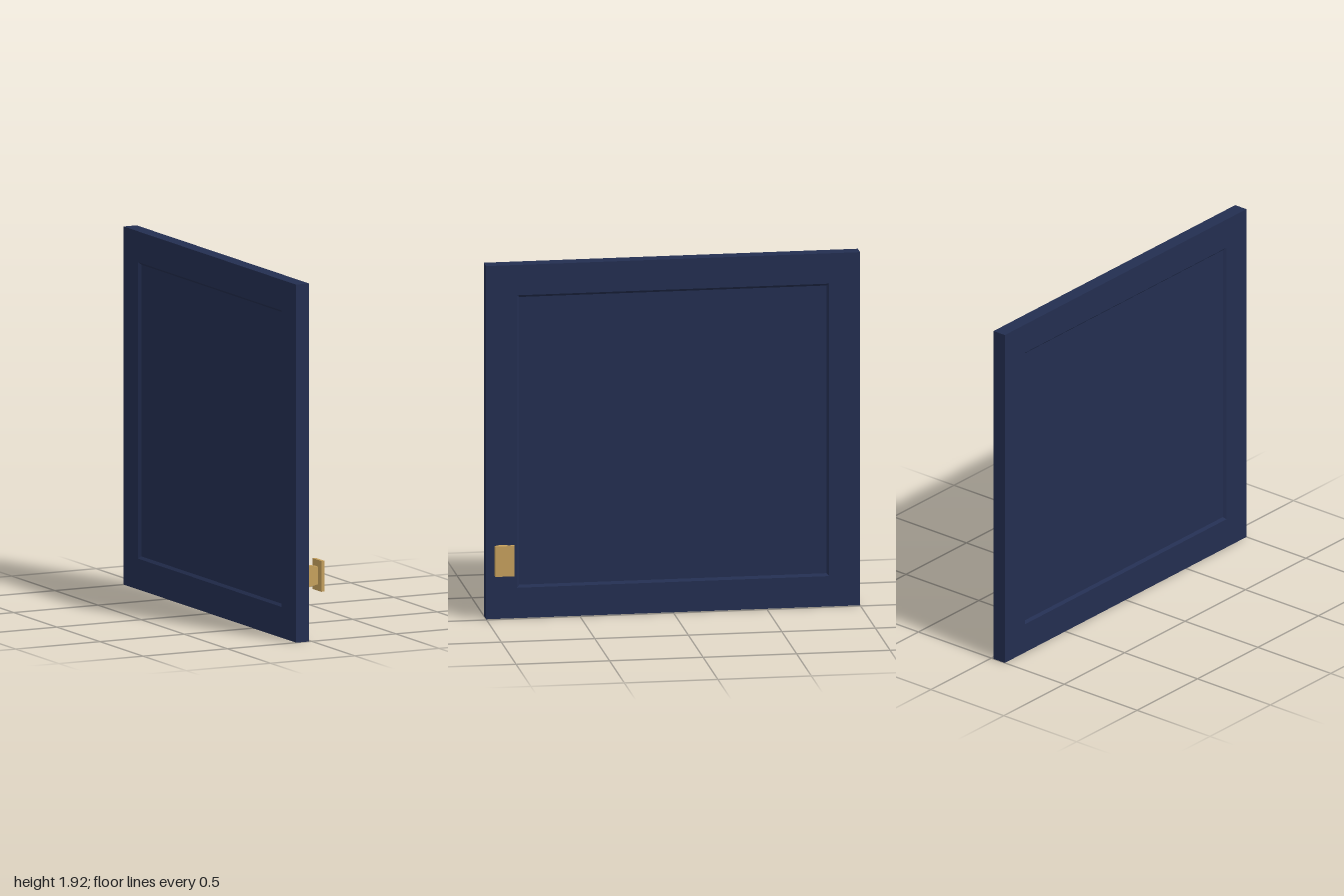
import * as THREE from 'three';

// Flat-faced solid lofted through rectangles [x, y0, y1, z0, z1], from its -x cap to its +x cap
function rectLoft(sections) {
  const rings = sections.map(([x, y0, y1, z0, z1]) =>
    [[x, y0, z1], [x, y0, z0], [x, y1, z0], [x, y1, z1]]);
  const pos = [];
  const quad = (a, b, c, d) => pos.push(...a, ...b, ...c, ...a, ...c, ...d);
  for (let r = 0; r < rings.length - 1; r++) {
    const a = rings[r], b = rings[r + 1];
    for (let i = 0; i < 4; i++) {
      const j = (i + 1) % 4;
      quad(a[i], a[j], b[j], b[i]);
    }
  }
  const first = rings[0], last = rings[rings.length - 1];
  quad(first[3], first[2], first[1], first[0]);
  quad(...last);
  const geo = new THREE.BufferGeometry();
  geo.setAttribute('position', new THREE.Float32BufferAttribute(pos, 3));
  geo.computeVertexNormals();
  return geo;
}

export function createModel() {
  const group = new THREE.Group();
  const navy = new THREE.MeshStandardMaterial({ color: 0x232e50 });
  navy.name = 'navy paint';
  const brass = new THREE.MeshStandardMaterial({ color: 0xc49f5c });
  brass.name = 'brass';

  const add = (name, geo, mat, parent = group) => {
    const mesh = new THREE.Mesh(geo, mat);
    mesh.name = name;
    parent.add(mesh);
    return mesh;
  };

  // Door with a bevelled recessed panel on both faces
  const back = -0.0925, front = -0.015, recess = 0.014, mid = 0.96;
  const rect = (x, halfH, halfW) => [x, mid - halfH, mid + halfH, -halfW, halfW];
  add('door', rectLoft([
    rect(back + recess, 0.782, 0.821),
    rect(back, 0.795, 0.834),
    rect(back, 0.96, 1),
    rect(front, 0.96, 1),
    rect(front, 0.795, 0.834),
    rect(front - recess, 0.782, 0.821),
  ]), navy);

  // Knob: tapered stem and flat rectangular plate
  const knob = new THREE.Group();
  knob.name = 'knob';
  group.add(knob);
  add('knobStem', rectLoft([
    [front, 0.275, 0.4, 0.885, 0.947],
    [0.073, 0.29, 0.384, 0.9, 0.932],
  ]), brass, knob);
  const plate = add('knobPlate', new THREE.BoxGeometry(0.0185, 0.165, 0.104), brass, knob);
  plate.position.set(0.083, 0.337, 0.916);

  return group;
}
